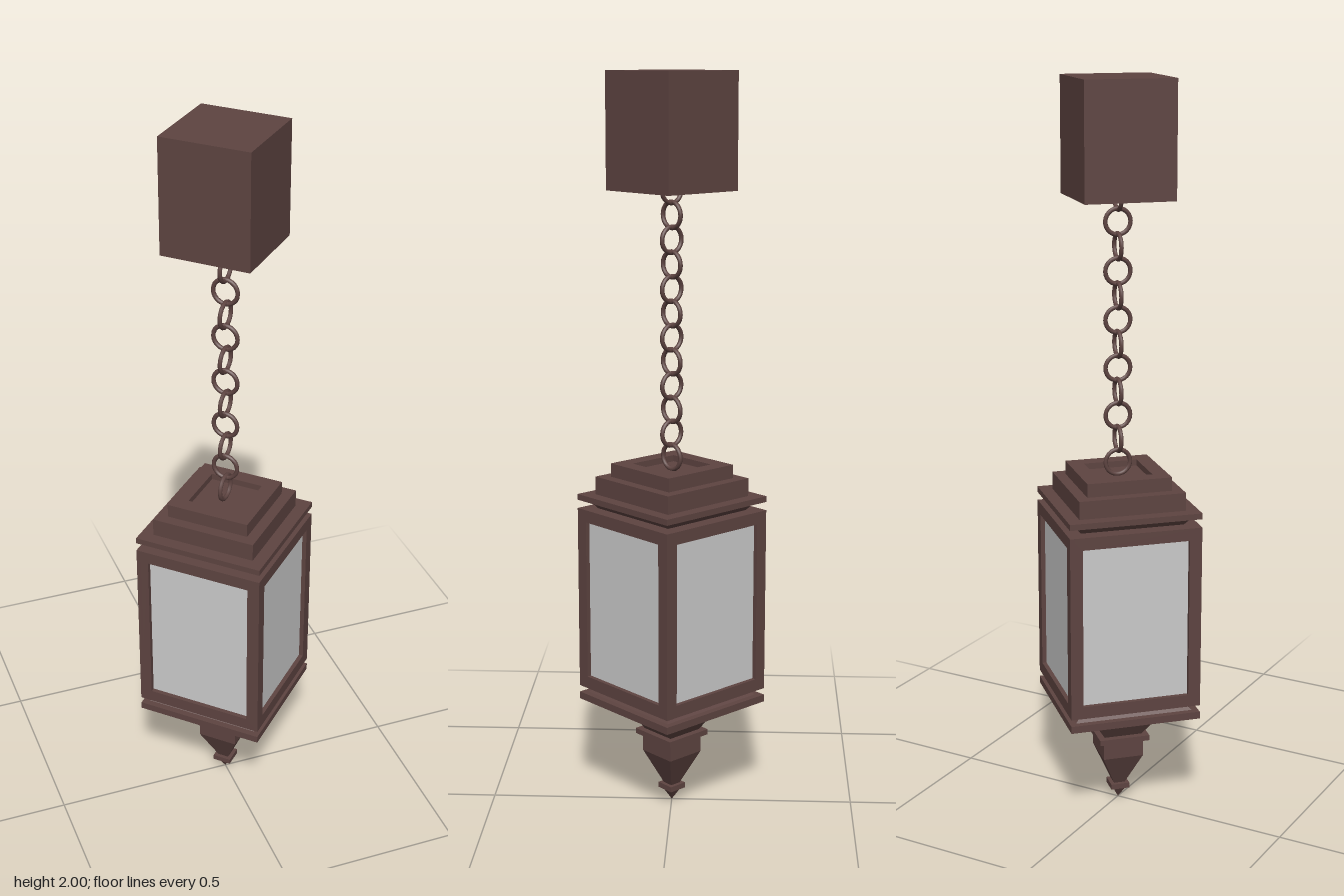
import * as THREE from 'three';

const metal = new THREE.MeshStandardMaterial({ color: 0x5e4441, flatShading: true });
const chainMetal = new THREE.MeshStandardMaterial({ color: 0x5e4441 });
const glass = new THREE.MeshStandardMaterial({ color: 0xcccccc, flatShading: true });

// Four-sided turned solid: [corner radius, y] points from bottom to top, corners on the axes
function squareTurned(name, profile, material = metal) {
  const points = profile.map(([r, y]) => new THREE.Vector2(r, y));
  const geometry = new THREE.LatheGeometry(points, 4).toNonIndexed();
  geometry.computeVertexNormals();
  const mesh = new THREE.Mesh(geometry, material);
  mesh.name = name;
  return mesh;
}

// Rectangular frame with an open window, its front on z = depth
function framePanelGeometry(width, height, border, depth) {
  const w = width / 2, h = height / 2;
  const shape = new THREE.Shape();
  shape.moveTo(-w, -h).lineTo(w, -h).lineTo(w, h).lineTo(-w, h).closePath();
  const hole = new THREE.Path();
  const a = w - border, b = h - border;
  hole.moveTo(-a, -b).lineTo(-a, b).lineTo(a, b).lineTo(a, -b).closePath();
  shape.holes.push(hole);
  return new THREE.ExtrudeGeometry(shape, { depth, bevelEnabled: false });
}

export function createModel() {
  const model = new THREE.Group();
  model.name = 'hangingLantern';

  // Ceiling block
  model.add(squareTurned('ceilingBlock', [[0, 1.695], [0.171, 1.695], [0.171, 2], [0, 2]]));

  // Chain of round links, each turned a quarter from the last
  const chain = new THREE.Group();
  chain.name = 'chain';
  const linkGeometry = new THREE.TorusGeometry(0.034, 0.006, 8, 24);
  for (let i = 0; i < 12; i++) {
    const link = new THREE.Mesh(linkGeometry, chainMetal);
    link.name = 'chainLink';
    link.position.y = 1.697 - i * 0.0645;
    link.rotation.y = (i % 2 ? 1 : -1) * Math.PI / 4;
    chain.add(link);
  }
  model.add(chain);

  // Stepped cap with a shallow recess for the last link
  model.add(squareTurned('cap', [
    [0, 0.82], [0.25, 0.82], [0.25, 0.842], [0.2, 0.842], [0.225, 0.865],
    [0.255, 0.865], [0.255, 0.881], [0.206, 0.881], [0.206, 0.93],
    [0.164, 0.93], [0.164, 0.967], [0.105, 0.967], [0.105, 0.95], [0, 0.95],
  ]));

  // Four window frames around the glass
  const frames = new THREE.Group();
  frames.name = 'windowFrames';
  const side = 0.255 * Math.SQRT2, bottom = 0.334, top = 0.842, depth = 0.012;
  const panelGeometry = framePanelGeometry(side, top - bottom, 0.034, depth);
  for (let i = 0; i < 4; i++) {
    const turn = Math.PI / 4 + i * Math.PI / 2;
    const offset = side / 2 - depth;
    const panel = new THREE.Mesh(panelGeometry, metal);
    panel.name = 'windowFrame';
    panel.rotation.y = turn;
    panel.position.set(Math.sin(turn) * offset, (top + bottom) / 2, Math.cos(turn) * offset);
    frames.add(panel);
  }
  model.add(frames);

  const glassRadius = 0.255 - depth * Math.SQRT2;
  model.add(squareTurned('glass', [[0, 0.36], [glassRadius, 0.36], [glassRadius, 0.815], [0, 0.815]], glass));

  // Base moulding, hollowed slightly underneath
  model.add(squareTurned('base', [
    [0, 0.31], [0.2, 0.31], [0.215, 0.295], [0.255, 0.295], [0.255, 0.315],
    [0.23, 0.315], [0.2, 0.334], [0.25, 0.334], [0.25, 0.355], [0, 0.355],
  ]));

  // Tapered drop with two collars and a point
  model.add(squareTurned('finial', [
    [0, 0], [0.026, 0.035], [0.037, 0.035], [0.037, 0.05], [0.022, 0.05],
    [0.08, 0.145], [0.08, 0.195], [0.1, 0.195], [0.1, 0.21], [0.075, 0.21],
    [0.15, 0.295], [0.15, 0.312], [0, 0.312],
  ]));

  return model;
}
